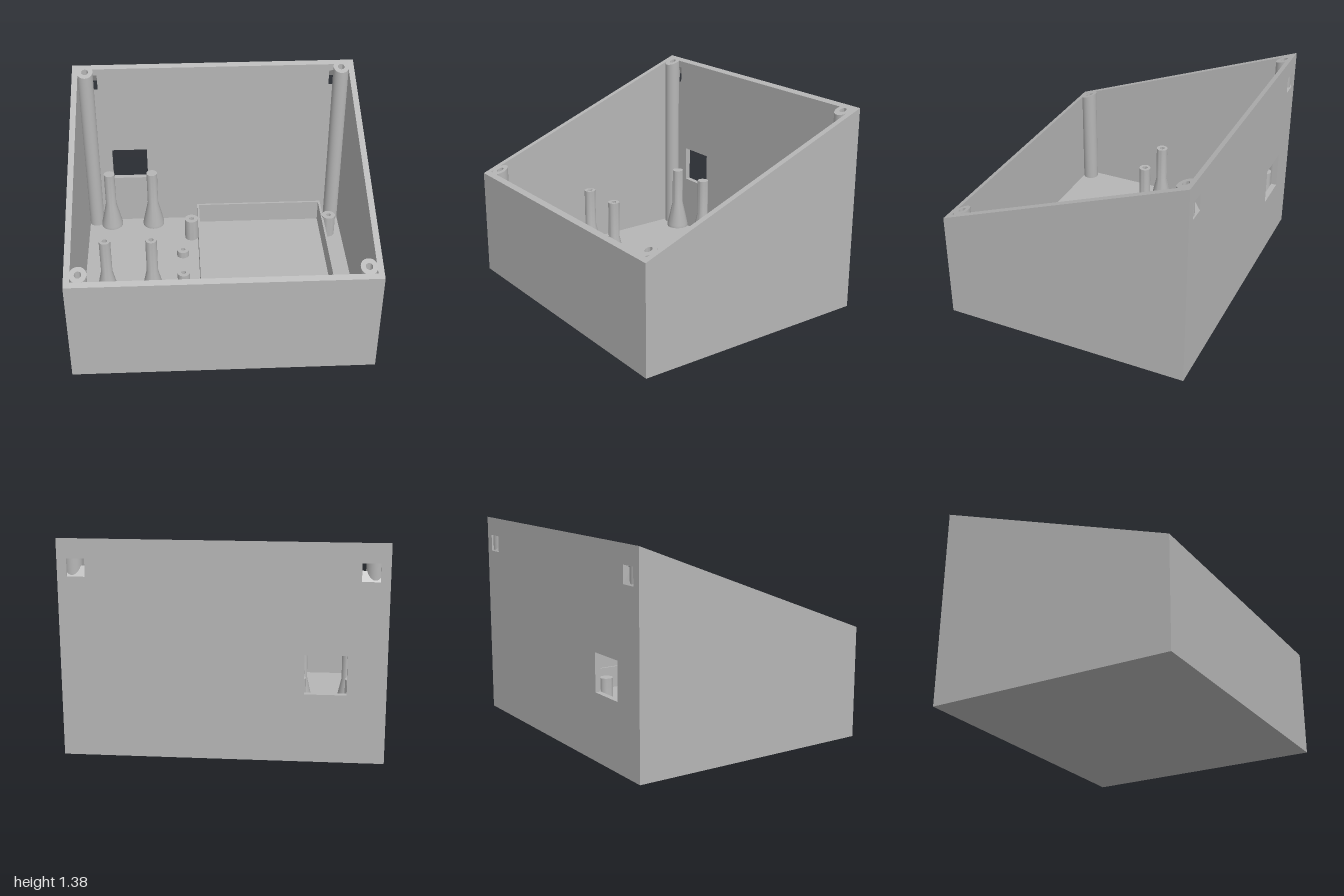
import * as THREE from 'three';
import { toCreasedNormals } from 'three/addons/utils/BufferGeometryUtils.js';

const D = 0.835, T = 0.04, ZIN = 0.798, FLOOR = 0.05;
const rimHeight = (z) => 0.74 + (D - z) * 0.645 / (2 * D);

export function createModel() {
  const group = new THREE.Group();
  const grey = new THREE.MeshStandardMaterial({ color: 0xb6b6b6 });
  grey.name = 'plastic grey';

  const add = (name, geometry, x = 0, y = 0, z = 0) => {
    const mesh = new THREE.Mesh(geometry, grey);
    mesh.name = name;
    mesh.position.set(x, y, z);
    group.add(mesh);
    return mesh;
  };
  // Box given by its limits, its top optionally cut along the sloping rim
  const block = (name, x0, x1, y0, y1, z0, z1, sloped = false) => {
    const g = new THREE.BoxGeometry(x1 - x0, y1 - y0, z1 - z0);
    g.translate((x0 + x1) / 2, (y0 + y1) / 2, (z0 + z1) / 2);
    if (sloped) cutToRim(g);
    return add(name, g);
  };
  const cutToRim = (g, cx = 0, cz = 0) => {
    const p = g.attributes.position;
    for (let i = 0; i < p.count; i++) p.setY(i, Math.min(p.getY(i), rimHeight(p.getZ(i) + cz)));
    g.computeVertexNormals();
    return g;
  };
  const turned = (profile) =>
    new THREE.LatheGeometry(profile.map(([r, y]) => new THREE.Vector2(r, y)), 32);

  // Floor, side walls and front wall
  block('floor', -1, 1, 0, FLOOR, -D, D);
  for (const s of [-1, 1]) {
    block('sideWall', s < 0 ? -1 : 1 - T, s < 0 ? -1 + T : 1, 0, 2, -D, D, true);
  }
  block('frontWall', -1 + T, 1 - T, 0, 2, ZIN, D, true);

  // Back wall: a window and two slots that climb towards the inside
  const holes = [
    { x0: -0.76, x1: -0.5, y0: 0.44, y1: 0.69, rise: 0 },
    { x0: -0.94, x1: -0.83, y0: 1.15, y1: 1.262, rise: 0.06 },
    { x0: 0.83, x1: 0.94, y0: 1.15, y1: 1.262, rise: 0.06 },
  ];
  const corners = (h, rise) => [[h.x0, h.y0 + rise], [h.x1, h.y0 + rise], [h.x1, h.y1 + rise], [h.x0, h.y1 + rise]];
  const wallFace = (inside) => {
    const m = inside ? 1 : -1, w = 1 - T, top = rimHeight(inside ? -ZIN : -D);
    const path = (pts) => pts.map(([x, y]) => new THREE.Vector2(m * x, y));
    const shape = new THREE.Shape(path([[-w, 0], [w, 0], [w, top], [-w, top]]));
    for (const h of holes) shape.holes.push(new THREE.Path(path(corners(h, inside ? h.rise : 0))));
    const g = new THREE.ShapeGeometry(shape);
    if (!inside) g.rotateY(Math.PI);
    return g.translate(0, 0, inside ? -ZIN : -D);
  };
  add('backWallInside', wallFace(true));
  add('backWallOutside', wallFace(false));
  // Quads joining the inner and outer faces
  const joins = [];
  const join = (a, b, c, d) => {
    const P = [...a, -ZIN], Q = [...b, -ZIN], R = [...c, -D], S = [...d, -D];
    joins.push(...P, ...Q, ...R, ...P, ...R, ...S);
  };
  for (const h of holes) {
    const inner = corners(h, h.rise), outer = corners(h, 0);
    for (let k = 0; k < 4; k++) {
      const n = (k + 1) % 4;
      join(inner[k], inner[n], outer[n], outer[k]);
    }
  }
  const w = 1 - T, yi = rimHeight(-ZIN), yo = rimHeight(-D);
  join([-w, yi], [w, yi], [w, yo], [-w, yo]);
  const edges = new THREE.BufferGeometry();
  edges.setAttribute('position', new THREE.Float32BufferAttribute(joins, 3));
  edges.computeVertexNormals();
  add('backWallEdges', edges);

  // Corner screw posts, flush with the sloping rim
  for (const x of [-0.91, 0.91]) {
    for (const z of [-0.775, 0.75]) {
      const deep = rimHeight(z) - 0.15;
      const g = turned([[0.055, FLOOR], [0.055, 2], [0.023, 2], [0.023, deep], [0, deep]]);
      add('cornerPost', toCreasedNormals(cutToRim(g, x, z), 0.6), x, 0, z);
    }
  }

  // Tall posts with flared feet: drilled at the front, solid at the back
  for (const x of [-0.79, -0.47]) {
    for (const z of [0.08, -0.74]) {
      const end = z > 0 ? [[0.018, 0.515], [0.018, 0.4], [0, 0.4]] : [[0, 0.515]];
      const g = turned([[0.08, FLOOR], [0.08, 0.07], [0.04, 0.25], [0.04, 0.515], ...end]);
      add('flaredPost', toCreasedNormals(g, 0.6), x, 0, z);
    }
  }

  // Board standoffs: x, z, radius, top
  const standoffs = [
    [-0.18, -0.55, 0.05, 0.22], [0.86, -0.55, 0.05, 0.22],
    [-0.18, 0.21, 0.05, 0.22], [0.86, 0.21, 0.05, 0.22],
    [-0.25, -0.33, 0.045, 0.1], [-0.25, -0.06, 0.045, 0.1],
    [0.19, 0.73, 0.05, 0.1], [0.68, 0.73, 0.05, 0.1],
  ];
  for (const [x, z, r, top] of standoffs) {
    const g = turned([[r, FLOOR], [r, top], [0.017, top], [0.017, FLOOR + 0.01], [0, FLOOR + 0.01]]);
    add('standoff', toCreasedNormals(g, 0.6), x, 0, z);
  }

  // Tray fence with a gap in its front
  const t = 0.015, top = 0.21;
  block('trayLeft', 0.803, 0.818, FLOOR, top, -0.75, 0.41);
  block('trayRight', -0.132, -0.117, FLOOR, top, -0.75, 0.41);
  block('trayBack', -0.117, 0.803, FLOOR, top, -0.75, -0.75 + t);
  block('trayFront', -0.117, 0.19, FLOOR, top, 0.41 - t, 0.41);
  block('trayFront', 0.41, 0.803, FLOOR, top, 0.41 - t, 0.41);
  block('trayGapSill', 0.19, 0.41, FLOOR, 0.1, 0.41 - t, 0.41);

  return group;
}
